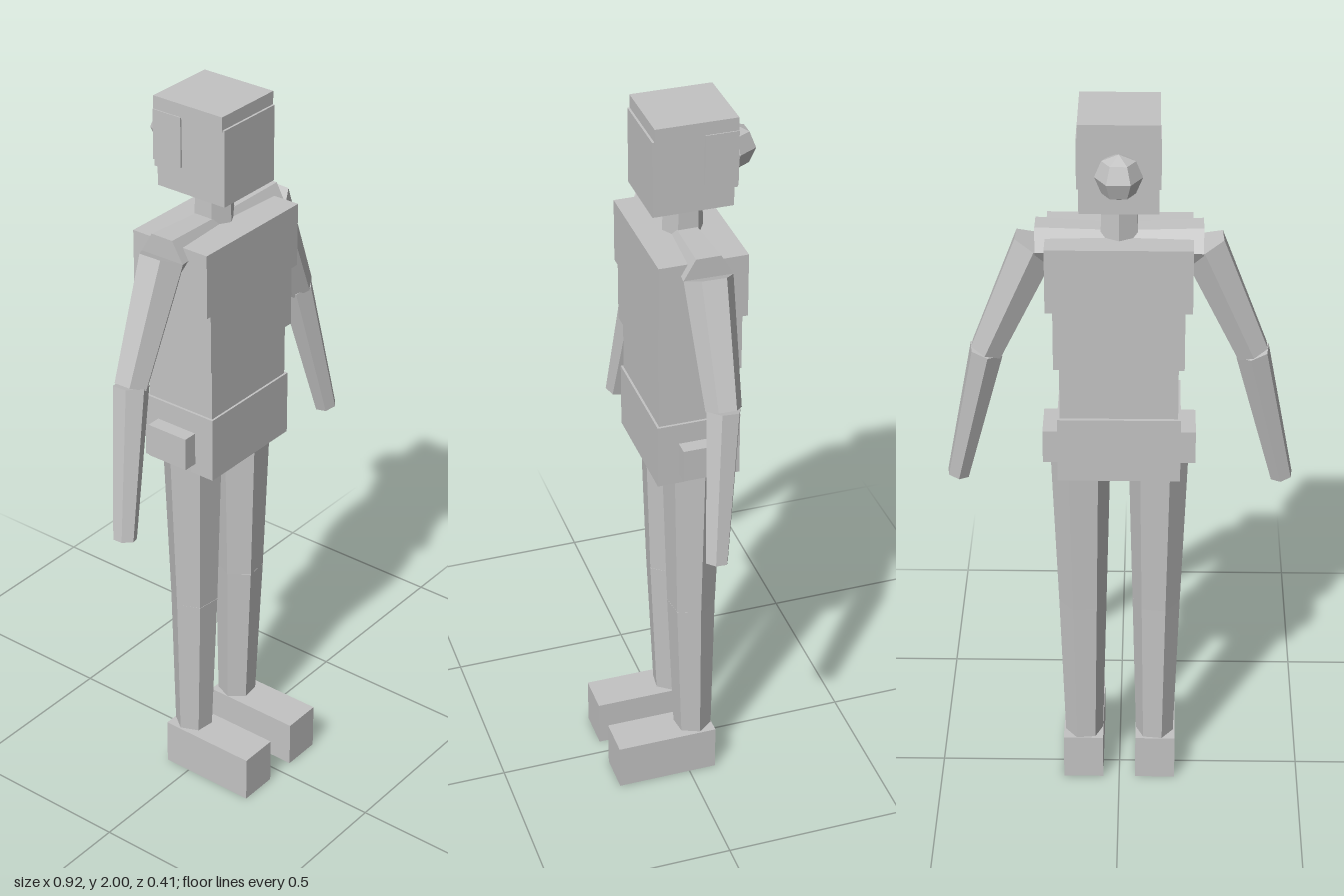
import * as THREE from 'three';

export function createModel() {
  const model = new THREE.Group();
  const grey = new THREE.MeshStandardMaterial({ color: 0xc3c3c3, flatShading: true });
  grey.name = 'plain grey';

  const add = (name, geometry) => {
    const mesh = new THREE.Mesh(geometry, grey);
    mesh.name = name;
    model.add(mesh);
    return mesh;
  };

  // Box given by its extents along each axis
  const box = (name, x0, x1, y0, y1, z0, z1) =>
    add(name, new THREE.BoxGeometry(x1 - x0, y1 - y0, z1 - z0))
      .position.set((x0 + x1) / 2, (y0 + y1) / 2, (z0 + z1) / 2);

  // Tapered six-sided limb between two points, with an edge facing the front
  const limb = (name, a, b, ra, rb) => {
    const start = new THREE.Vector3(...a), end = new THREE.Vector3(...b);
    const dir = end.clone().sub(start);
    const mesh = add(name, new THREE.CylinderGeometry(rb, ra, dir.length(), 6));
    mesh.quaternion.setFromUnitVectors(new THREE.Vector3(0, 1, 0), dir.normalize());
    mesh.position.copy(start).add(end).multiplyScalar(0.5);
  };

  // Torso, stacked from the hips up
  box('pelvis', -0.16, 0.16, 1.0, 1.18, -0.132, 0.092);
  box('waist', -0.153, 0.153, 1.17, 1.335, -0.122, 0.086);
  box('ribs', -0.168, 0.168, 1.325, 1.5, -0.13, 0.094);
  box('chest', -0.187, 0.187, 1.49, 1.665, -0.138, 0.097);

  // Head with thin hair slabs and a bun
  limb('neck', [0, 1.63, -0.027], [0, 1.79, -0.027], 0.056, 0.05);
  box('head', -0.1, 0.1, 1.76, 1.965, -0.128, 0.084);
  box('hairTop', -0.102, 0.102, 1.96, 2.0, -0.138, 0.078);
  box('hairBack', -0.1, 0.1, 1.81, 1.965, -0.138, -0.12);
  add('hairBun', new THREE.SphereGeometry(0.06, 6, 4)).position.set(0, 1.872, -0.157);

  // Paired parts, left then right
  for (const s of [1, -1]) {
    const side = s > 0 ? 'left' : 'right';
    const pairBox = (name, x0, x1, ...rest) =>
      box(side + name, Math.min(s * x0, s * x1), Math.max(s * x0, s * x1), ...rest);

    pairBox('HairSide', 0.095, 0.105, 1.83, 1.965, -0.138, -0.05);
    pairBox('HipPouch', 0.15, 0.2, 1.03, 1.122, -0.088, 0.035);
    pairBox('Foot', 0.045, 0.155, 0, 0.132, -0.076, 0.205);

    const shoulder = [s * 0.212, 1.634, -0.024];
    const elbow = [s * 0.344, 1.329, -0.021];
    limb(side + 'Shoulder', [0, 1.638, -0.025], shoulder, 0.05, 0.065);
    limb(side + 'UpperArm', shoulder, elbow, 0.064, 0.047);
    limb(side + 'Forearm', elbow, [s * 0.432, 0.932, 0.023], 0.047, 0.031);

    const knee = [s * 0.1, 0.56, -0.02];
    limb(side + 'Thigh', [s * 0.103, 1.03, -0.021], knee, 0.08, 0.065);
    limb(side + 'Shin', knee, [s * 0.098, 0.12, -0.026], 0.065, 0.052);
  }

  return model;
}
